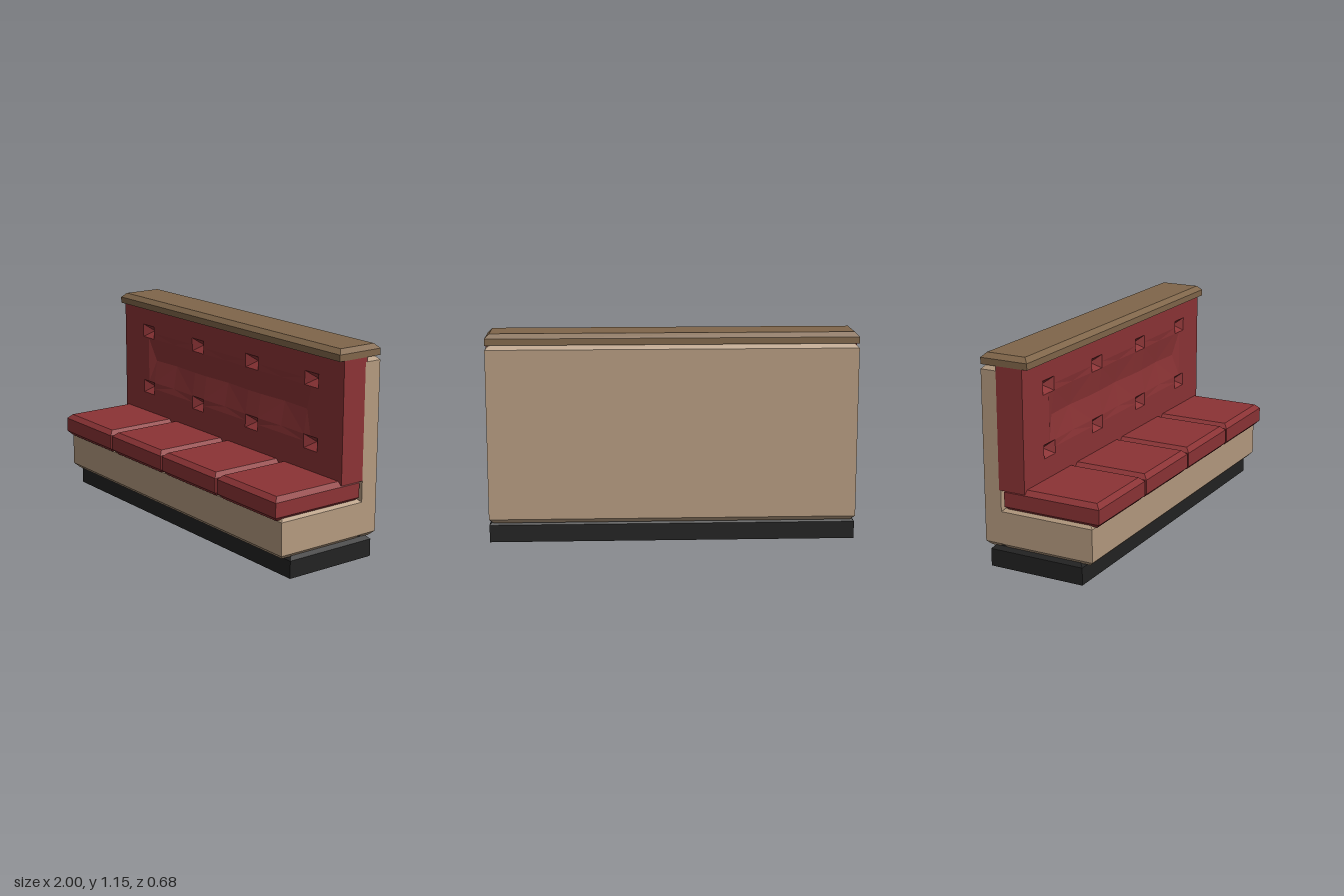
import * as THREE from 'three';

const material = (name, color) => {
  const m = new THREE.MeshStandardMaterial({ color });
  m.name = name;
  return m;
};

// Box given by its ranges, with the top and/or bottom edges chamfered
function chamferBox([x0, x1], [y0, y1], [z0, z1], bevel, bottom, top) {
  const w = x1 - x0, h = y1 - y0, d = z1 - z0;
  const box = new THREE.BoxGeometry(w, h, d, 1, 3, 1);
  const p = box.attributes.position;
  for (let i = 0; i < p.count; i++) {
    const y = p.getY(i), s = Math.sign(y);
    if (Math.abs(y) < h / 4) {
      p.setY(i, s * (h / 2 - bevel));
    } else if (s > 0 ? top : bottom) {
      p.setX(i, p.getX(i) - Math.sign(p.getX(i)) * bevel);
      p.setZ(i, p.getZ(i) - Math.sign(p.getZ(i)) * bevel);
    }
  }
  const g = box.toNonIndexed();
  g.computeVertexNormals();
  return g.translate((x0 + x1) / 2, (y0 + y1) / 2, (z0 + z1) / 2);
}

const PIT_X = [-0.75, -0.25, 0.25, 0.75];
const PIT_Y = [0.603, 0.947];
const MID_Y = 0.775;
const near = (a, b) => Math.abs(a - b) < 1e-6;

// Depth of the tufted face: button pits and a shallow valley between the rows
function tuftDepth(x, y) {
  const onPit = PIT_X.some((v) => near(v, x));
  if (onPit && PIT_Y.some((v) => near(v, y))) return 0.045;
  if (Math.abs(x) > 0.74) return 0;
  const between = near(x, 0) || near(Math.abs(x), 0.5);
  if (near(y, MID_Y)) return between ? 0.03 : 0.02;
  if (between && Math.abs(y - MID_Y) < 0.15) return 0.006;
  return 0;
}

function tuftedFace(z, y0, y1) {
  const xs = [-1, -0.5, 0, 0.5, 1, ...PIT_X.flatMap((x) => [x - 0.055, x, x + 0.055])].sort((a, b) => a - b);
  const ys = [y0, MID_Y, y1, ...PIT_Y.flatMap((y) => [y - 0.038, y, y + 0.038])].sort((a, b) => a - b);
  const out = [];
  const point = (i, j) => [xs[i], ys[j], z - tuftDepth(xs[i], ys[j])];
  for (let j = 0; j < ys.length - 1; j++) {
    for (let i = 0; i < xs.length - 1; i++) {
      const a = point(i, j), b = point(i + 1, j), c = point(i + 1, j + 1), d = point(i, j + 1);
      // The diagonal runs through the deepest corner
      if (Math.min(a[2], c[2]) < Math.min(b[2], d[2])) out.push(...a, ...b, ...c, ...a, ...c, ...d);
      else out.push(...a, ...b, ...d, ...b, ...c, ...d);
    }
  }
  const g = new THREE.BufferGeometry();
  g.setAttribute('position', new THREE.Float32BufferAttribute(out, 3));
  g.computeVertexNormals();
  return g;
}

export function createModel() {
  const group = new THREE.Group();
  group.name = 'boothBench';
  const red = material('red upholstery', 0x8b3335);
  const tan = material('tan panel', 0xb49a7f);
  const wood = material('brown wood', 0x80664a);
  const black = material('black plinth', 0x222222);

  const add = (name, geometry, mat) => {
    const mesh = new THREE.Mesh(geometry, mat);
    mesh.name = name;
    group.add(mesh);
  };
  const full = [-1, 1];

  // Plinth, frame and cap rail
  add('plinth', chamferBox(full, [0, 0.116], [-0.31, 0.24], 0.02, false, true), black);
  add('seatBase', chamferBox(full, [0.11, 0.338], [-0.24, 0.3], 0.024, true, true), tan);
  add('backPanel', chamferBox(full, [0.11, 1.09], [-0.34, -0.24], 0.025, true, true), tan);
  add('capRail', chamferBox(full, [1.09, 1.15], [-0.34, -0.064], 0.025, false, true), wood);

  // Four seat cushions
  for (let i = 0; i < 4; i++) {
    const x = (i - 1.5) * 0.504;
    add('seatCushion' + (i + 1), chamferBox([x - 0.244, x + 0.244], [0.32, 0.45], [-0.22, 0.34], 0.025, true, true), red);
  }

  // Back cushion: box without its front, closed by the tufted face
  const y0 = 0.43, y1 = 1.09, zFront = -0.095, zBack = -0.25;
  const shell = new THREE.BoxGeometry(2, y1 - y0, zFront - zBack);
  const index = Array.from(shell.index.array);
  index.splice(24, 6);
  shell.setIndex(index);
  shell.clearGroups();
  shell.translate(0, (y0 + y1) / 2, (zFront + zBack) / 2);
  add('backCushionSides', shell, red);
  add('backCushionTuftedFace', tuftedFace(zFront, y0, y1), red);

  return group;
}
